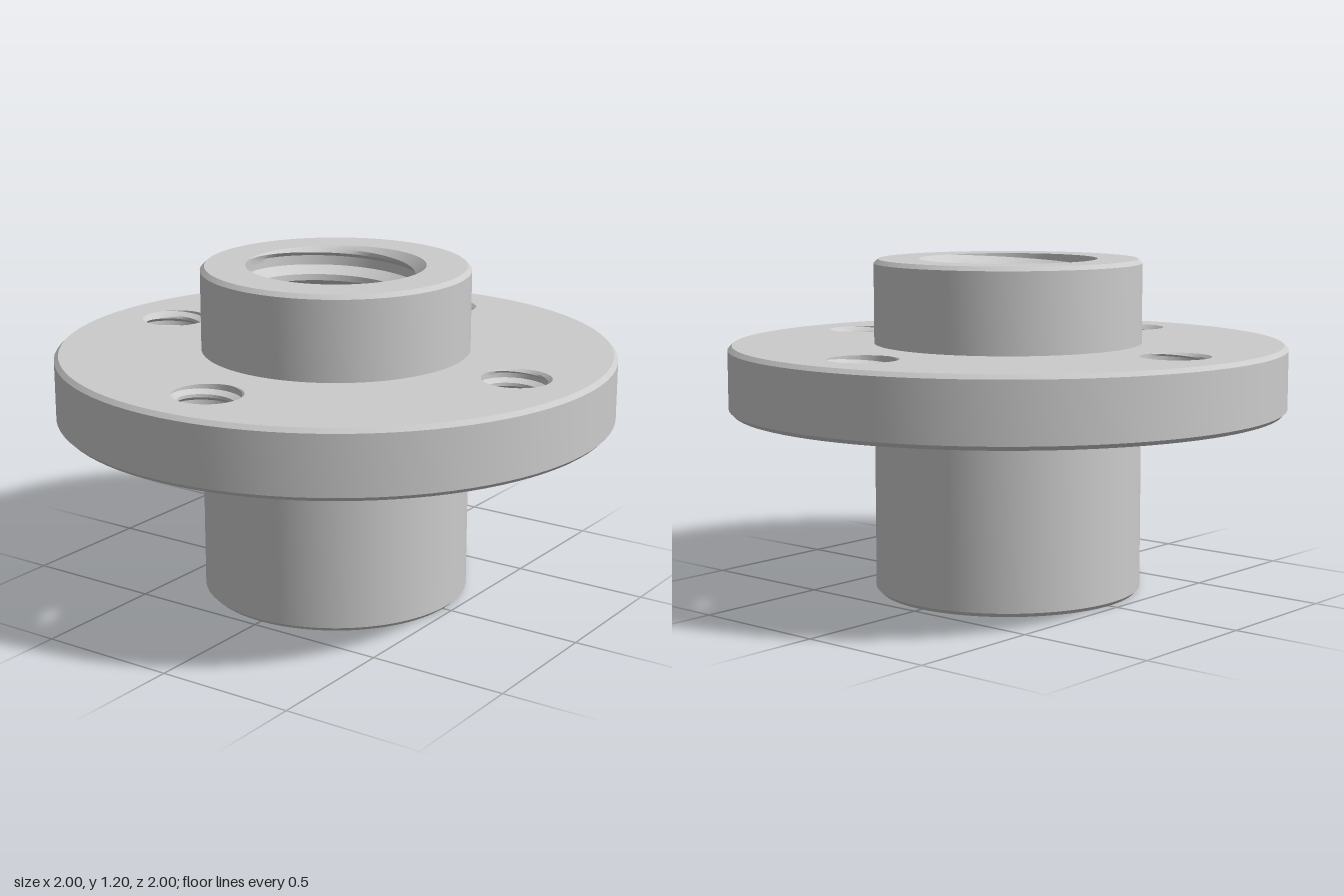
import * as THREE from 'three';
import { toCreasedNormals } from 'three/addons/utils/BufferGeometryUtils.js';

const HUB_R = 0.48, FLANGE_R = 1, HEIGHT = 1.2;
const FLANGE_BOTTOM = 0.66, FLANGE_TOP = 0.9, BEVEL = 0.015;
const BORE = { minor: 0.283, major: 0.32, pitch: 0.115, segments: 96 };
const HOLE = { minor: 0.1, major: 0.121, pitch: 0.055, segments: 48 };
const HOLE_CIRCLE = 0.74;

const material = new THREE.MeshStandardMaterial({ color: 0xcccccc });

function addMesh(parent, name, geometry) {
  const mesh = new THREE.Mesh(geometry, material);
  mesh.name = name;
  parent.add(mesh);
  return mesh;
}

// Revolved outer surface with crisp edges
function turned(points) {
  const profile = points.map(([r, y]) => new THREE.Vector2(r, y));
  return toCreasedNormals(new THREE.LatheGeometry(profile, 96), 0.5);
}

// Right-handed internal thread: rows follow the helix and are clamped to the ends,
// where a 45 degree lead-in opens to the major radius
function threadedHole({ minor, major, pitch, segments }, y0, y1) {
  const steps = [0, 0.1, 0.2, 0.325, 0.45, 0.6, 0.75, 0.875];
  const turns = Math.ceil((y1 - y0) / pitch) + 1;
  const grid = [];
  for (let i = 0; i <= segments; i++) {
    const turn = i / segments, a = turn * Math.PI * 2;
    const column = [];
    for (let k = -1; k < turns; k++) {
      for (const s of steps) {
        const y = THREE.MathUtils.clamp(y0 + pitch * (k + s + turn), y0, y1);
        const phase = (y - y0) / pitch - turn;
        const u = phase - Math.floor(phase + 1e-6);
        // Flat crest, sloping flank, flat root, sloping flank
        const depth = THREE.MathUtils.clamp(Math.min((u - 0.2) / 0.25, (1 - u) / 0.25), 0, 1);
        const leadIn = major - Math.min(y - y0, y1 - y);
        const r = Math.max(minor + (major - minor) * depth, leadIn);
        column.push(new THREE.Vector3(r * Math.cos(a), y, -r * Math.sin(a)));
      }
    }
    grid.push(column);
  }
  const positions = [];
  const triangle = (a, b, c) => {
    const area = new THREE.Triangle(a, b, c).getArea();
    if (area > 1e-9) for (const p of [a, b, c]) positions.push(p.x, p.y, p.z);
  };
  for (let i = 0; i < segments; i++) {
    for (let j = 0; j < grid[0].length - 1; j++) {
      const a = grid[i][j], b = grid[i][j + 1], c = grid[i + 1][j], d = grid[i + 1][j + 1];
      triangle(a, b, c);
      triangle(c, b, d);
    }
  }
  const geometry = new THREE.BufferGeometry();
  geometry.setAttribute('position', new THREE.Float32BufferAttribute(positions, 3));
  return toCreasedNormals(geometry, 0.5);
}

const holeCentres = [0, 1, 2, 3].map((i) => {
  const a = (i * Math.PI) / 2;
  return { a, x: HOLE_CIRCLE * Math.cos(a), y: HOLE_CIRCLE * Math.sin(a) };
});

// Flat ring of the flange pierced by the bolt holes
function flangeFace() {
  const shape = new THREE.Shape().absarc(0, 0, FLANGE_R - BEVEL, 0, Math.PI * 2);
  shape.holes.push(new THREE.Path().absarc(0, 0, HUB_R, 0, Math.PI * 2, true));
  for (const { x, y } of holeCentres) {
    shape.holes.push(new THREE.Path().absarc(x, y, HOLE.major, 0, Math.PI * 2, true));
  }
  return new THREE.ShapeGeometry(shape, 48);
}

export function createModel() {
  const model = new THREE.Group();
  model.name = 'flangedNut';

  // Hub, below and above the flange
  addMesh(model, 'lowerHub', turned([
    [BORE.major, 0], [HUB_R - BEVEL, 0], [HUB_R, BEVEL], [HUB_R, FLANGE_BOTTOM],
  ]));
  addMesh(model, 'upperHub', turned([
    [HUB_R, FLANGE_TOP], [HUB_R, HEIGHT - BEVEL], [HUB_R - BEVEL, HEIGHT], [BORE.major, HEIGHT],
  ]));
  addMesh(model, 'threadedBore', threadedHole(BORE, 0, HEIGHT));

  // Flange with bevelled rim
  const flange = new THREE.Group();
  flange.name = 'flange';
  model.add(flange);
  addMesh(flange, 'flangeRim', turned([
    [FLANGE_R - BEVEL, FLANGE_BOTTOM], [FLANGE_R, FLANGE_BOTTOM + BEVEL],
    [FLANGE_R, FLANGE_TOP - BEVEL], [FLANGE_R - BEVEL, FLANGE_TOP],
  ]));
  const face = flangeFace();
  const top = addMesh(flange, 'flangeTop', face);
  top.rotation.x = -Math.PI / 2;
  top.position.y = FLANGE_TOP;
  const bottom = addMesh(flange, 'flangeUnderside', face);
  bottom.rotation.x = Math.PI / 2;
  bottom.position.y = FLANGE_BOTTOM;

  // Four threaded bolt holes
  const holeGeometry = threadedHole(HOLE, FLANGE_BOTTOM, FLANGE_TOP);
  holeCentres.forEach(({ a, x, y }) => {
    const hole = addMesh(flange, 'boltHole', holeGeometry);
    hole.position.set(x, 0, -y);
    hole.rotation.y = a;
  });

  return model;
}
